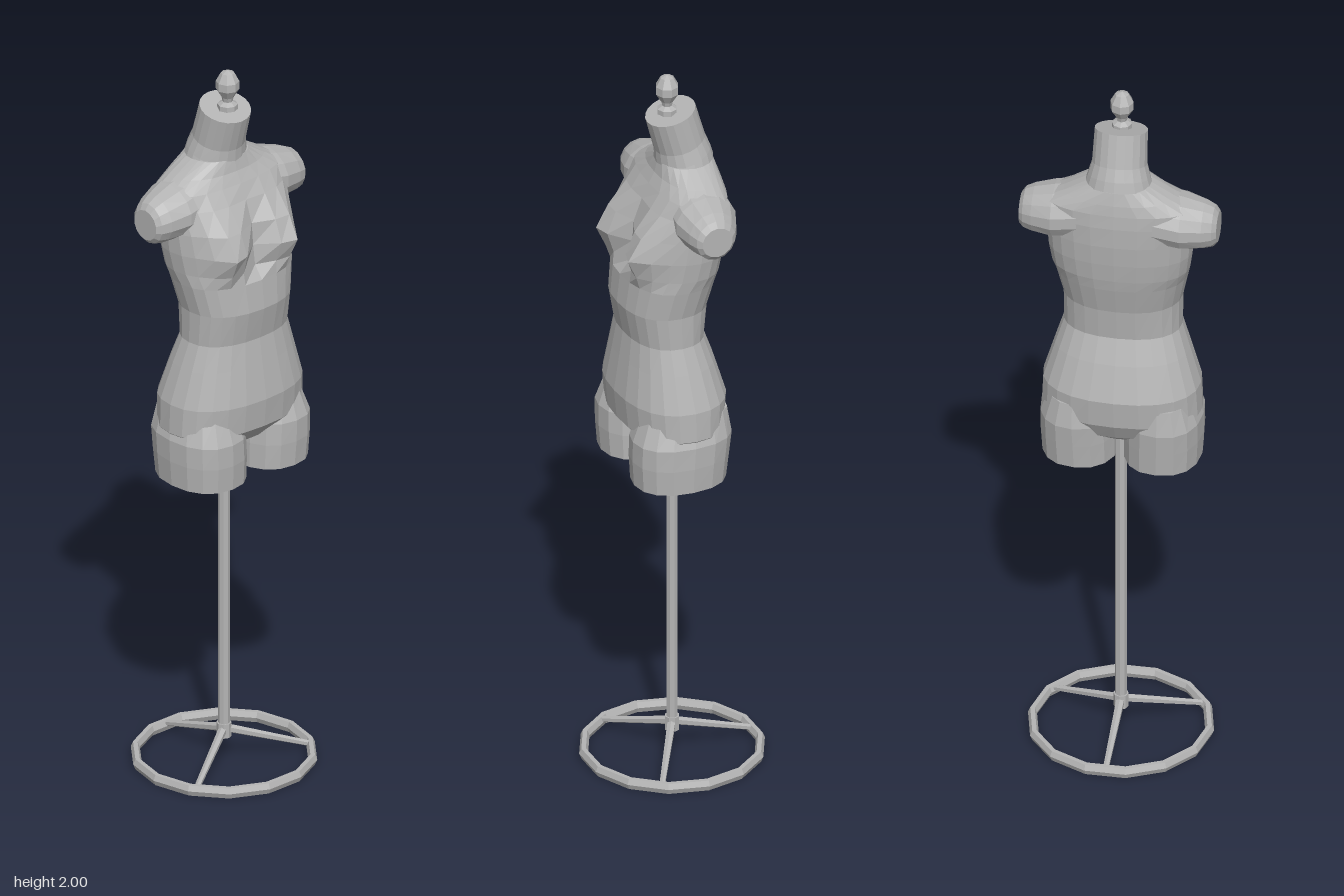
import * as THREE from 'three';

const grey = new THREE.MeshStandardMaterial({ color: 0xb4b4b4, flatShading: true });
grey.name = 'plain grey';

// Skin a stack of equal-length rings of points and cap both ends.
function loft(rings) {
  const n = rings[0].length, pos = [], idx = [];
  rings.forEach(r => r.forEach(p => pos.push(...p)));
  for (let i = 0; i < rings.length - 1; i++) {
    for (let j = 0; j < n; j++) {
      const k = (j + 1) % n, a = i * n + j, b = i * n + k;
      idx.push(a, a + n, b, b, a + n, b + n);
    }
  }
  const addCap = (row, top) => {
    const c = pos.length / 3;
    pos.push(...[0, 1, 2].map(d => rings[row].reduce((s, p) => s + p[d], 0) / n));
    for (let j = 0; j < n; j++) {
      const a = row * n + j, b = row * n + (j + 1) % n;
      idx.push(...(top ? [c, b, a] : [c, a, b]));
    }
  };
  addCap(0, false);
  addCap(rings.length - 1, true);
  const g = new THREE.BufferGeometry();
  g.setAttribute('position', new THREE.Float32BufferAttribute(pos, 3));
  g.setIndex(idx);
  g.computeVertexNormals();
  return g;
}

const soft = (v, e) => Math.sign(v) * Math.abs(v) ** e;

// Horizontal rounded ring; tilt lowers the front, bust pushes two bumps forward.
function ring({ y, cx = 0, w, front, back, bust = 0, tilt = 0, n = 24, e = 0.86 }) {
  const cz = (front + back) / 2, d = (front - back) / 2;
  return Array.from({ length: n }, (_, j) => {
    const a = j / n * Math.PI * 2;
    const x = w * soft(Math.cos(a), e), s = soft(Math.sin(a), e);
    const bump = s > 0.05 ? bust * Math.exp(-(((Math.abs(x) - 0.095) / 0.058) ** 2)) : 0;
    return [cx + x, y - tilt * s * d, cz + s * d + bump];
  });
}

// Straight rod between two points.
function rod(from, to, r0, r1, sides) {
  const a = new THREE.Vector3(...from), b = new THREE.Vector3(...to);
  const dir = b.clone().sub(a);
  const g = new THREE.CylinderGeometry(r1, r0, dir.length(), sides);
  g.applyQuaternion(new THREE.Quaternion().setFromUnitVectors(new THREE.Vector3(0, 1, 0), dir.normalize()));
  g.translate(...a.add(b).multiplyScalar(0.5).toArray());
  return g;
}

export function createModel() {
  const model = new THREE.Group();
  model.name = 'dressForm';
  const add = (name, geometry) => {
    const m = new THREE.Mesh(geometry, grey);
    m.name = name;
    model.add(m);
    return m;
  };

  // Torso: height, half width, front z, back z, bust
  add('torso', loft([
    [0.935, 0.05, 0.04, -0.04, 0],
    [0.97, 0.165, 0.11, -0.085, 0],
    [1.02, 0.212, 0.157, -0.112, 0],
    [1.1, 0.208, 0.165, -0.12, 0],
    [1.2, 0.178, 0.15, -0.09, 0],
    [1.27, 0.156, 0.14, -0.065, 0],
    [1.36, 0.157, 0.157, -0.075, 0],
    [1.44, 0.174, 0.148, -0.095, 0],
    [1.475, 0.182, 0.118, -0.102, 0.04],
    [1.53, 0.19, 0.108, -0.11, 0.077],
    [1.59, 0.194, 0.105, -0.116, 0.045],
    [1.65, 0.2, 0.085, -0.118, 0.01],
    [1.69, 0.2, 0.066, -0.116, 0],
    [1.72, 0.145, 0.05, -0.112, 0],
    [1.755, 0.085, 0.042, -0.104, 0],
  ].map(([y, w, front, back, bust]) => ring({ y, w, front, back, bust }))));

  // Neck, leaning forward with a slanted top
  add('neck', loft([
    [1.735, 0.092, 0.052, -0.108],
    [1.765, 0.083, 0.044, -0.1],
    [1.8, 0.073, 0.046, -0.086],
    [1.89, 0.07, 0.07, -0.06],
  ].map(([y, w, front, back]) => ring({ y, w, front, back, tilt: 0.3, n: 20, e: 1 }))));

  for (const s of [1, -1]) {
    const side = s > 0 ? 'left' : 'right';
    // Thigh stump
    add(side + 'Thigh', loft([
      [0.87, 0.108, 0.102, 0.155, -0.095],
      [0.94, 0.11, 0.104, 0.16, -0.103],
      [1.0, 0.112, 0.102, 0.16, -0.11],
      [1.07, 0.112, 0.078, 0.135, -0.1],
    ].map(([y, cx, w, front, back]) => ring({ y, cx: s * cx, w, front, back, n: 16 }))));

    // Shoulder stump: x, centre y, centre z, half height, half depth
    add(side + 'Shoulder', loft([
      [0.1, 1.65, -0.025, 0.075, 0.085],
      [0.17, 1.638, -0.022, 0.073, 0.086],
      [0.225, 1.63, -0.018, 0.064, 0.068],
      [0.25, 1.626, -0.016, 0.056, 0.055],
      [0.261, 1.624, -0.016, 0.042, 0.043],
    ].map(([x, cy, cz, h, d]) => Array.from({ length: 14 }, (_, j) => {
      const a = j / 14 * Math.PI * 2;
      return [s * x, cy + h * Math.cos(a), cz - s * d * Math.sin(a)];
    }))));
  }

  // Finial on the neck
  const finial = add('finial', new THREE.LatheGeometry([
    [0, 0], [0.027, 0], [0.027, 0.014], [0.013, 0.022], [0.016, 0.034],
    [0.031, 0.058], [0.031, 0.08], [0.018, 0.104], [0, 0.112],
  ].map(p => new THREE.Vector2(...p)), 8));
  finial.position.set(0, 1.888, 0.014);

  // Stand: pole, hub, three spokes and a ring
  add('pole', rod([0, 0.07, 0], [0, 1.0, 0], 0.016, 0.016, 8));
  add('hub', rod([0, 0.065, 0], [0, 0.105, 0], 0.02, 0.02, 8));
  for (const k of [0, 1, 2]) {
    const a = -Math.PI / 2 + k * Math.PI * 2 / 3;
    add('spoke', rod([0, 0.09, 0], [0.233 * Math.cos(a), 0.018, 0.233 * Math.sin(a)], 0.012, 0.008, 6));
  }
  const hoop = new THREE.TorusGeometry(0.234, 0.012, 6, 14);
  hoop.rotateX(Math.PI / 2);
  hoop.scale(1, 1.4, 1);
  hoop.translate(0, 0.0146, 0);
  add('baseRing', hoop);

  return model;
}
